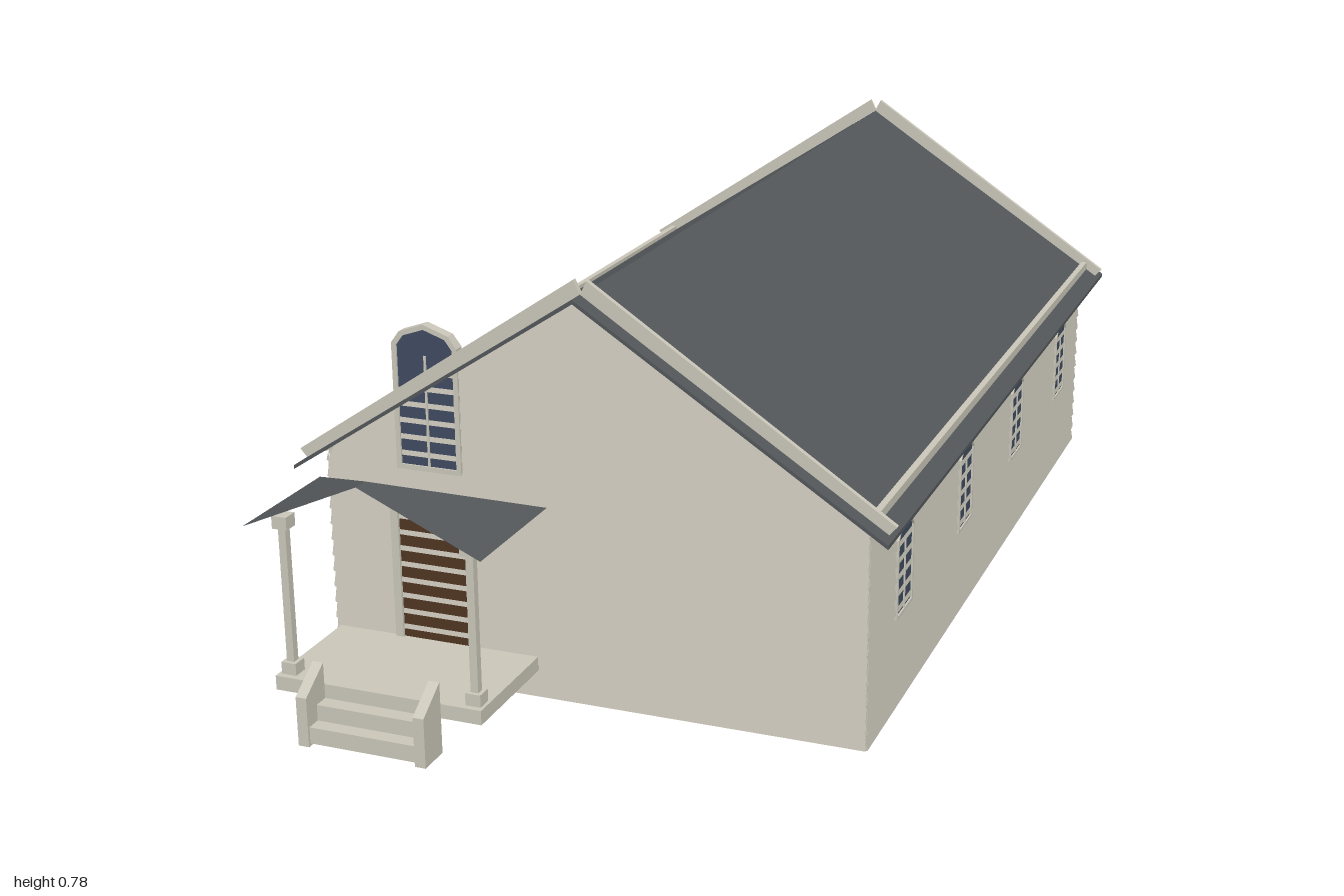
import * as THREE from 'three';

const mat = (name, color, side = THREE.FrontSide) => {
  const m = new THREE.MeshStandardMaterial({ color, side });
  m.name = name;
  return m;
};

export function createModel() {
  const root = new THREE.Group();
  root.name = 'chapel';
  const cream = mat('cream paint', 0xcac6b9);
  const slate = mat('slate grey', 0x53575a, THREE.DoubleSide);
  const glass = mat('blue glass', 0x3e4b60);
  const wood = mat('brown wood', 0x4f3520);

  const add = (parent, name, geo, material, x = 0, y = 0, z = 0) => {
    const mesh = new THREE.Mesh(geo, material);
    mesh.name = name;
    mesh.position.set(x, y, z);
    parent.add(mesh);
    return mesh;
  };
  const box = (parent, name, material, x0, x1, y0, y1, z0, z1) =>
    add(parent, name, new THREE.BoxGeometry(x1 - x0, y1 - y0, z1 - z0), material,
      (x0 + x1) / 2, (y0 + y1) / 2, (z0 + z1) / 2);
  const poly = pts => new THREE.Shape(pts.map(p => new THREE.Vector2(...p)));
  const slab = (shape, z0, z1) =>
    new THREE.ExtrudeGeometry(shape, { depth: z1 - z0, bevelEnabled: false }).translate(0, 0, z0);

  const BASE = 0.015, EAVE = 0.425, RIDGE = 0.75, SLOPE = 0.652;

  // Overlapping clapboards: each leans out to its lower edge; half(y) gives the half width
  const siding = (half, top) => {
    const pitch = 0.03, out = 0.005, pos = [];
    const quad = (a, b, c, d) => pos.push(...a, ...b, ...c, ...a, ...c, ...d);
    for (let y = BASE; y < top - 0.002; y += pitch) {
      const y1 = Math.min(y + pitch, top), w0 = half(y), w1 = half(y1);
      quad([-w0, y, out], [w0, y, out], [w1, y1, 0], [-w1, y1, 0]);
      quad([-w0, y, 0], [w0, y, 0], [w0, y, out], [-w0, y, out]);
      pos.push(w0, y, out, w0, y, 0, w1, y1, 0, -w0, y, 0, -w0, y, out, -w1, y1, 0);
    }
    const g = new THREE.BufferGeometry();
    g.setAttribute('position', new THREE.Float32BufferAttribute(pos, 3));
    g.computeVertexNormals();
    return g;
  };

  // Each wall faces its own +z, with the boards outside and a plain lining inside
  const wall = (name, outline, half, top, x, z, turn) => {
    const g = new THREE.Group();
    g.name = name;
    g.position.set(x, 0, z);
    g.rotation.y = turn;
    root.add(g);
    add(g, 'wallLining', slab(poly(outline), -0.004, 0), cream);
    add(g, 'clapboards', siding(half, top), cream);
    return g;
  };
  const gable = [[-0.495, BASE], [0.495, BASE], [0.495, EAVE], [0, RIDGE], [-0.495, EAVE]];
  const gableHalf = y => Math.max(0, Math.min(0.497, (RIDGE - y) / SLOPE));
  const long = [[-0.83, BASE], [0.83, BASE], [0.83, EAVE], [-0.83, EAVE]];
  const front = wall('frontWall', gable, gableHalf, RIDGE, 0, 0.715, 0);
  const back = wall('backWall', gable, gableHalf, RIDGE, 0, -0.945, Math.PI);
  const sides = [1, -1].map(s => wall(s > 0 ? 'leftWall' : 'rightWall', long,
    () => 0.832, EAVE, s * 0.495, -0.115, s * Math.PI / 2));

  // Arched window: pane, frame and a centre bar
  const arch = (w, y0, y1) => [[-w, y0], [w, y0], [w, y1 - w * 0.6], [w * 0.75, y1 - w * 0.26],
    [0, y1], [-w * 0.75, y1 - w * 0.26], [-w, y1 - w * 0.6]];
  const archWindow = (parent, x, w, y0, y1, rim, backZ) => {
    const g = new THREE.Group();
    g.name = 'archedWindow';
    g.position.x = x;
    parent.add(g);
    const ring = poly(arch(w, y0, y1));
    const inner = arch(w - rim, y0 + rim, y1 - rim);
    ring.holes.push(poly(inner));
    add(g, 'windowFrame', slab(ring, backZ, 0.007), cream);
    add(g, 'windowPane', slab(poly(inner), -0.0055, 0.0035), glass);
    box(g, 'windowBar', cream, -0.002, 0.002, y0 + rim, y1 - w * 0.9, 0.0035, 0.006);
  };
  for (const side of sides)
    for (const z of [0.51, 0.09, -0.33, -0.75])
      archWindow(side, side === sides[0] ? -(z + 0.115) : z + 0.115, 0.049, 0.185, 0.36, 0.005, 0);
  archWindow(back, 0, 0.049, 0.185, 0.36, 0.005, 0);
  archWindow(front, -0.295, 0.062, 0.41, 0.675, 0.009, -0.013);

  // Door with a frame around it
  const DX = -0.295;
  box(front, 'door', wood, DX - 0.066, DX + 0.066, 0.09, 0.328, -0.0055, 0.0035);
  for (const s of [-1, 1])
    box(front, 'doorJamb', cream, DX + s * 0.0725 - 0.0075, DX + s * 0.0725 + 0.0075, 0.09, 0.345, 0, 0.009);
  box(front, 'doorHead', cream, DX - 0.066, DX + 0.066, 0.328, 0.345, 0, 0.009);

  // Main roof
  add(root, 'mainRoof', slab(poly([[-0.54, 0.398], [0, 0.75], [0.54, 0.398],
    [0.54, 0.405], [0, 0.757], [-0.54, 0.405]]), -1, 0.76), slate);

  // Raised rake boards over both gables, and strips along the eaves
  for (const s of [-1, 1]) {
    for (const z of [0.718, -0.966])
      add(root, 'rakeBoard', slab(poly([[0, 0.758], [s * 0.53, 0.408],
        [s * 0.545, 0.425], [s * 0.012, 0.782]]), z, z + 0.01), cream);
    box(root, 'eaveStrip', cream, s * 0.505 - 0.006, s * 0.505 + 0.006, 0.422, 0.44, -0.956, 0.718);
  }

  // Porch roof: three slopes, open at the front
  const L = [DX - 0.22, 0.372, 0.97], R = [DX + 0.22, 0.372, 0.97];
  const BL = [DX - 0.22, 0.372, 0.718], BR = [DX + 0.22, 0.372, 0.718];
  const P = [DX, 0.47, 0.97], Q = [DX, 0.47, 0.94];
  const roofGeo = new THREE.BufferGeometry();
  roofGeo.setAttribute('position', new THREE.Float32BufferAttribute(
    [L, P, Q, L, Q, BL, P, R, BR, P, BR, Q, BL, Q, BR].flat(), 3));
  roofGeo.computeVertexNormals();
  add(root, 'porchRoof', roofGeo, slate);

  // Porch deck, posts and steps
  box(root, 'porchDeck', cream, DX - 0.195, DX + 0.195, 0.064, 0.09, 0.715, 0.94);
  for (const s of [-1, 1]) {
    const x = DX + s * 0.175, z = 0.915;
    box(root, 'porchPost', cream, x - 0.007, x + 0.007, 0.09, 0.375, z - 0.007, z + 0.007);
    box(root, 'postBase', cream, x - 0.014, x + 0.014, 0.09, 0.112, z - 0.014, z + 0.014);
    box(root, 'postCapital', cream, x - 0.014, x + 0.014, 0.357, 0.38, z - 0.014, z + 0.014);
    // Sloped cheek wall beside the steps
    const cheek = slab(poly([[-1, 0], [-0.94, 0], [-0.94, 0.13], [-1, 0.09]]), -0.01, 0.01);
    add(root, 'stepCheek', cheek.rotateY(Math.PI / 2), cream, DX + s * 0.11);
  }
  box(root, 'lowerStep', cream, DX - 0.1, DX + 0.1, 0.005, 0.035, 0.965, 0.995);
  box(root, 'upperStep', cream, DX - 0.1, DX + 0.1, 0.005, 0.064, 0.94, 0.968);

  return root;
}
